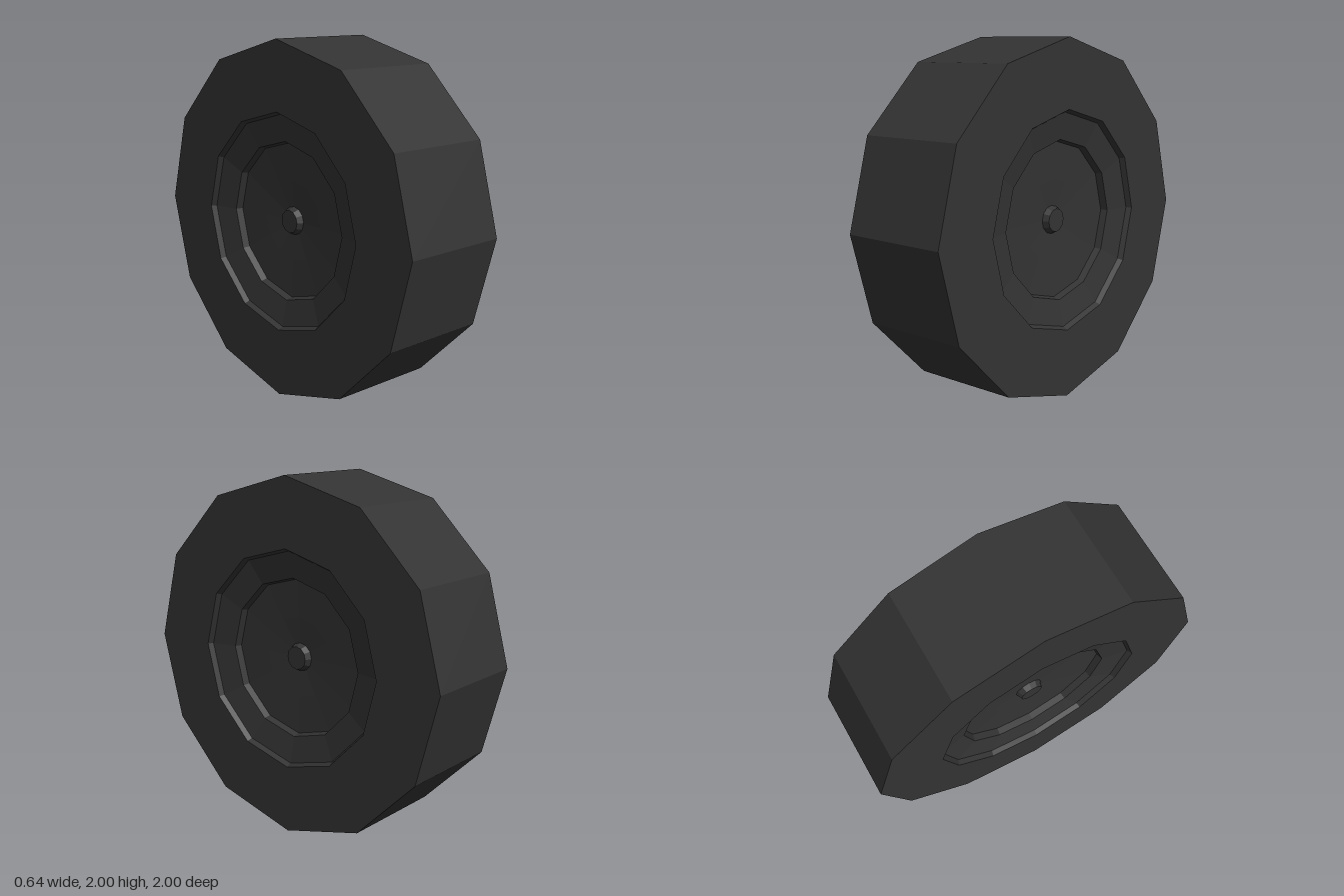
import * as THREE from 'three';

const SIDES = 12;
const HALF_WIDTH = 0.32;

// Faceted ring turned about the x axis from [radius, x] points; dir -1 flips it to the other side
function turned(name, points, material, dir = 1) {
  const profile = points.map(([r, x]) => new THREE.Vector2(r, x));
  const geometry = new THREE.LatheGeometry(profile, SIDES).toNonIndexed();
  geometry.computeVertexNormals();
  geometry.rotateZ(-dir * Math.PI / 2);
  const mesh = new THREE.Mesh(geometry, material);
  mesh.name = name;
  return mesh;
}

export function createModel() {
  const wheel = new THREE.Group();
  wheel.name = 'wheel';
  const rubber = new THREE.MeshStandardMaterial({ color: 0x333333 });
  rubber.name = 'dark rubber';

  const W = HALF_WIDTH;

  // Tread and both flat sidewalls
  wheel.add(turned('tyre', [[0.615, -W], [1, -W], [1, W], [0.615, W]], rubber));

  for (const [side, dir] of [['left', 1], ['right', -1]]) {
    // Stepped, sloping rim
    wheel.add(turned(side + 'Rim',
      [[0.615, W], [0.6, W - 0.03], [0.45, W - 0.06], [0.44, W - 0.1]], rubber, dir));
    // Shallow dished disc
    wheel.add(turned(side + 'Disc',
      [[0.44, W - 0.1], [0.23, W - 0.11], [0.08, W - 0.12]], rubber, dir));
    // Raised axle cap
    wheel.add(turned(side + 'AxleCap',
      [[0.08, W - 0.12], [0.065, W - 0.085], [0, W - 0.085]], rubber, dir));
  }

  wheel.position.y = 1;
  const model = new THREE.Group();
  model.name = 'wheelModel';
  model.add(wheel);
  return model;
}
